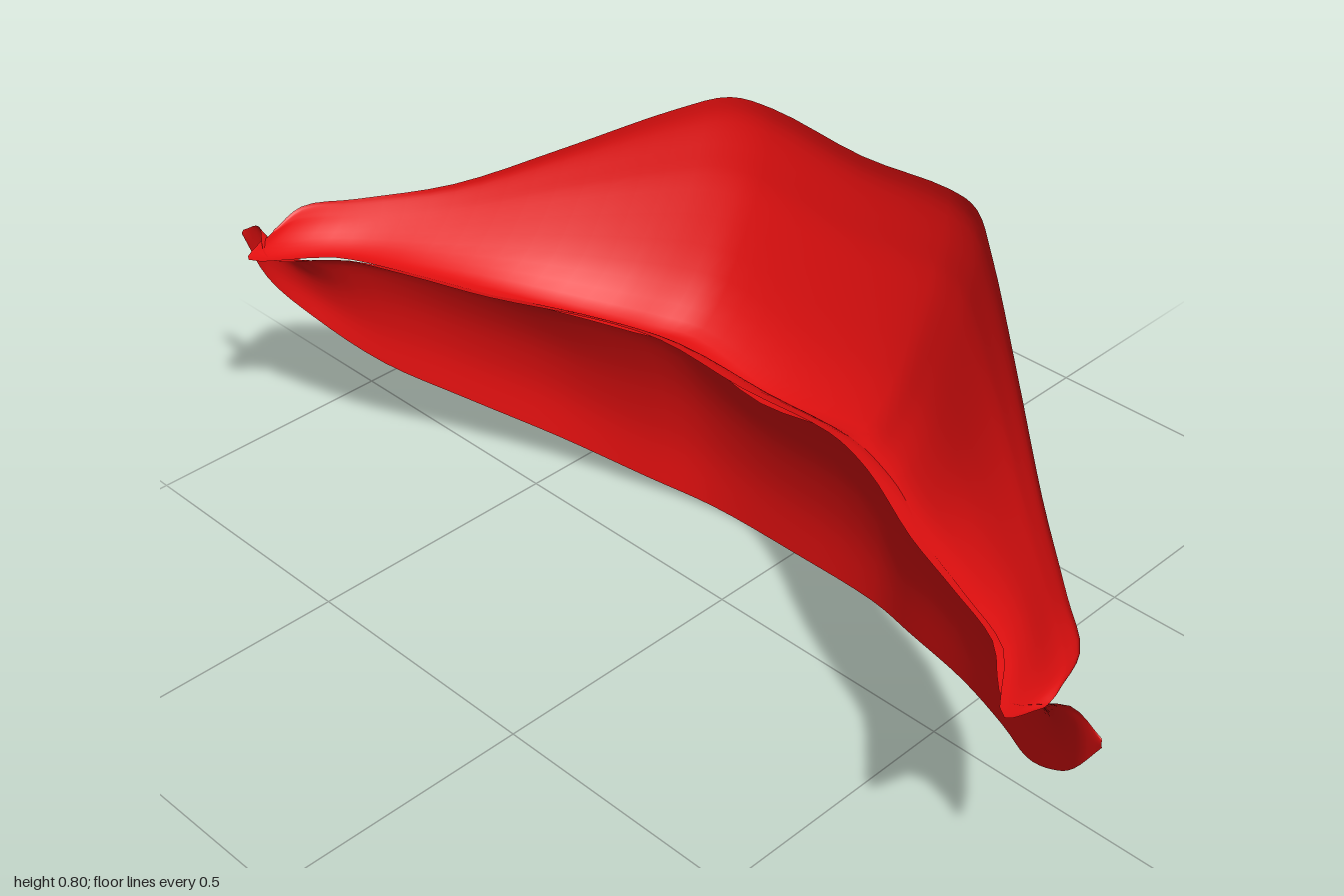
import * as THREE from 'three';

const red = new THREE.MeshStandardMaterial({ color: 0xe61010, side: THREE.DoubleSide });

// Curve through points given for x >= 0, mirrored to the other side
function mirroredCurve(half) {
  const right = half.map(p => new THREE.Vector3(...p));
  const left = half.slice(1).reverse().map(([x, y, z]) => new THREE.Vector3(-x, y, z));
  return new THREE.CatmullRomCurve3([...left, ...right], false, 'centripetal');
}

// Open sheet between two rims; the profile gives [y, z] progress from outer to inner rim
function lipSheet(outer, inner, profile, flip) {
  const outerCurve = mirroredCurve(outer), innerCurve = mirroredCurve(inner);
  const section = new THREE.SplineCurve(profile.map(p => new THREE.Vector2(...p)));
  const nu = (outer.length - 1) * 8, nv = 20;
  const positions = [], index = [];
  for (let i = 0; i <= nu; i++) {
    const a = outerCurve.getPoint(i / nu), b = innerCurve.getPoint(i / nu);
    for (let j = 0; j <= nv; j++) {
      const v = j / nv, f = section.getPoint(v);
      positions.push(
        THREE.MathUtils.lerp(a.x, b.x, v),
        THREE.MathUtils.lerp(a.y, b.y, f.x),
        THREE.MathUtils.lerp(a.z, b.z, f.y));
      if (i < nu && j < nv) {
        const p = i * (nv + 1) + j, q = p + nv + 1;
        if (flip) index.push(p, p + 1, q, q, p + 1, q + 1);
        else index.push(p, q, p + 1, q, q + 1, p + 1);
      }
    }
  }
  const geometry = new THREE.BufferGeometry();
  geometry.setAttribute('position', new THREE.Float32BufferAttribute(positions, 3));
  geometry.setIndex(index);
  geometry.computeVertexNormals();
  return geometry;
}

export function createModel() {
  const group = new THREE.Group();
  group.name = 'lips';

  // Upper lip: bowed top rim, flaring down and inward to the mouth line
  const upper = new THREE.Mesh(lipSheet(
    [[0, 0.775, -0.34], [0.2, 0.795, -0.33], [0.28, 0.798, -0.305], [0.36, 0.765, -0.25],
      [0.52, 0.675, -0.125], [0.68, 0.59, 0.005], [0.82, 0.55, 0.12], [0.9, 0.53, 0.19], [0.91, 0.5, 0.25]],
    [[0, 0.385, -0.095], [0.2, 0.41, -0.1], [0.28, 0.42, -0.06], [0.36, 0.43, -0.02],
      [0.52, 0.46, 0.08], [0.66, 0.475, 0.15], [0.78, 0.48, 0.21], [0.88, 0.485, 0.33], [0.91, 0.49, 0.28]],
    [[0, 0], [0.1, 0], [0.27, 0.08], [0.45, 0.19], [0.82, 0.5], [1, 0.8], [1, 1]], false), red);
  upper.name = 'upperLip';

  // Lower lip: rounded bottom rim, bulging forward and rolling in at the top
  const lower = new THREE.Mesh(lipSheet(
    [[0, 0.003, -0.19], [0.2, 0.01, -0.18], [0.33, 0.035, -0.135], [0.5, 0.08, -0.065],
      [0.66, 0.14, 0.03], [0.78, 0.21, 0.125], [0.88, 0.3, 0.2], [0.95, 0.38, 0.248], [1, 0.46, 0.26]],
    [[0, 0.438, -0.05], [0.2, 0.445, -0.05], [0.32, 0.452, -0.01], [0.5, 0.465, 0.09],
      [0.64, 0.478, 0.155], [0.76, 0.482, 0.21], [0.86, 0.482, 0.3], [0.94, 0.5, 0.26], [0.995, 0.47, 0.255]],
    [[0, 0], [0.26, -0.07], [0.56, 0.07], [0.85, 0.43], [0.95, 0.71], [1, 1]], true), red);
  lower.name = 'lowerLip';

  group.add(upper, lower);
  return group;
}
